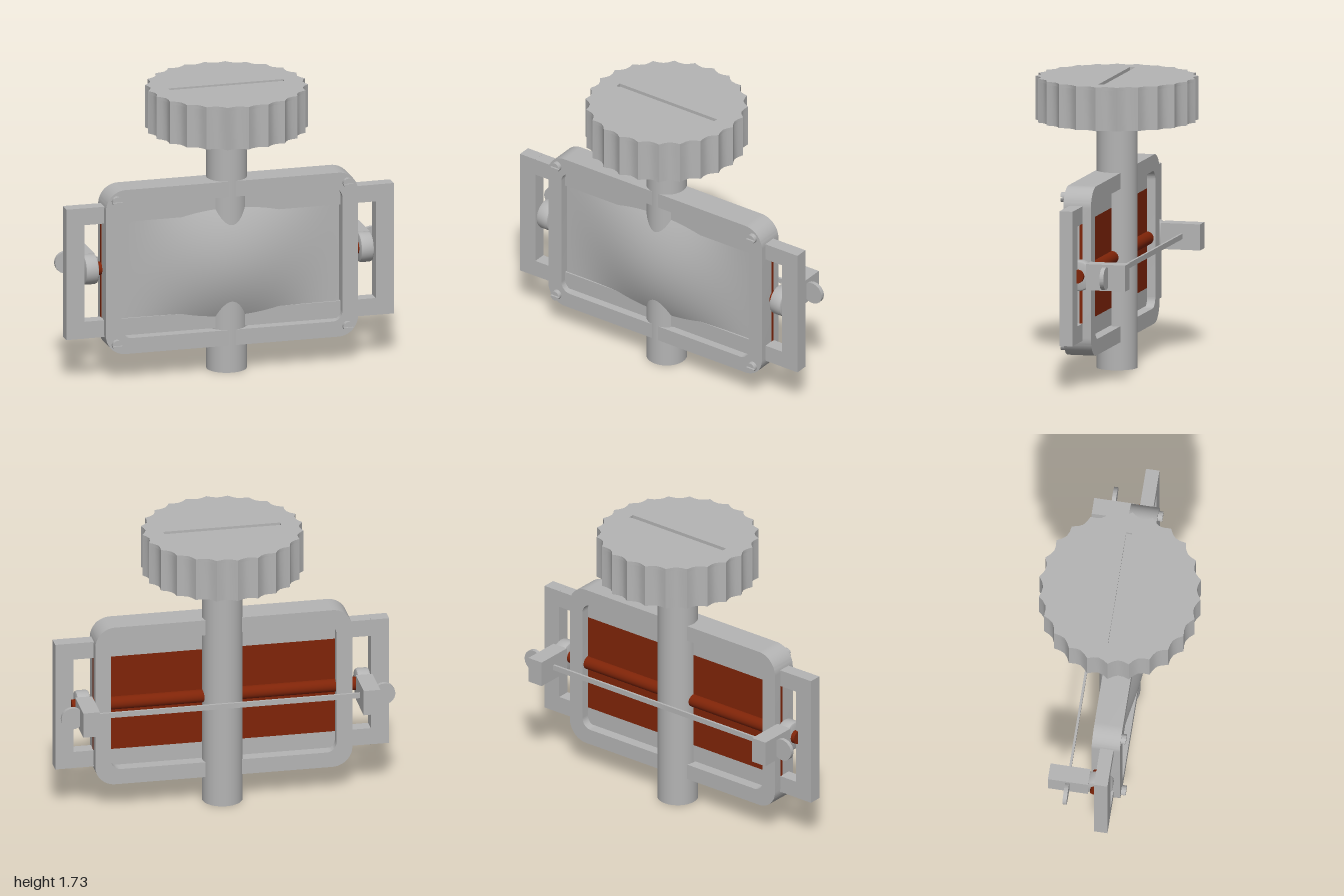
import * as THREE from 'three';
import { toCreasedNormals } from 'three/addons/utils/BufferGeometryUtils.js';

const steel = new THREE.MeshStandardMaterial({ color: 0xb4b4b4 });
steel.name = 'steel grey';
const rust = new THREE.MeshStandardMaterial({ color: 0x7f2408 });
rust.name = 'rust red';

const CY = 0.67; // height of the frame centre

export function createModel() {
  const root = new THREE.Group();
  root.name = 'valve';

  const add = (name, geo, x, y, z, mat = steel, parent = root) => {
    const m = new THREE.Mesh(geo, mat);
    m.name = name;
    m.position.set(x, y, z);
    parent.add(m);
    return m;
  };
  const box = (w, h, d) => new THREE.BoxGeometry(w, h, d);
  const extrude = (shape, depth, curveSegments = 10) =>
    toCreasedNormals(new THREE.ExtrudeGeometry(shape, { depth, bevelEnabled: false, curveSegments }), 0.5);
  const roundRect = (path, w, h, r) => {
    path.moveTo(w - r, -h);
    path.absarc(w - r, -h + r, r, -Math.PI / 2, 0);
    path.absarc(w - r, h - r, r, 0, Math.PI / 2);
    path.absarc(-w + r, h - r, r, Math.PI / 2, Math.PI);
    path.absarc(-w + r, -h + r, r, Math.PI, Math.PI * 1.5);
    path.closePath();
    return path;
  };

  // Vertical post
  add('post', new THREE.CylinderGeometry(0.12, 0.12, 1.48, 48), 0, 0.74, 0);

  // Scalloped knob with a shallow slot in its top
  const scallops = () => {
    const pts = [], teeth = 24, steps = 4;
    for (let i = 0; i < teeth * steps; i++) {
      const a = (i / (teeth * steps)) * Math.PI * 2;
      const t = (i % steps) / steps;
      const r = 0.479 - 0.027 * Math.sin(t * Math.PI);
      pts.push(new THREE.Vector2(Math.cos(a) * r, Math.sin(a) * r));
    }
    return new THREE.Shape(pts);
  };
  const knob = new THREE.Group();
  knob.name = 'knob';
  knob.position.y = 1.473;
  knob.rotation.x = -Math.PI / 2;
  root.add(knob);
  add('knobBody', extrude(scallops(), 0.24), 0, 0, 0, steel, knob);
  const top = scallops();
  top.holes.push(new THREE.Path([
    new THREE.Vector2(-0.35, -0.017), new THREE.Vector2(-0.35, 0.017),
    new THREE.Vector2(0.35, 0.017), new THREE.Vector2(0.35, -0.017),
  ]));
  add('knobSlottedTop', extrude(top, 0.02), 0, 0, 0.24, steel, knob);

  // Rounded rectangular frame
  const frame = roundRect(new THREE.Shape(), 0.77, 0.503, 0.12);
  frame.holes.push(roundRect(new THREE.Path(), 0.675, 0.408, 0.06));
  add('frame', extrude(frame, 0.168), 0, CY, -0.05);

  // Horizontal straps running through the frame
  for (const s of [-1, 1]) add('strap', box(1.78, 0.103, 0.08), 0, CY + s * 0.348, 0.04);

  // Bulged front plate: a box whose front face swells towards the middle
  const bulge = box(1.335, 2, 1, 40, 28, 1);
  bulge.dispose();
  const plate = new THREE.BoxGeometry(1.335, 2, 1, 40, 28, 1);
  const p = plate.attributes.position;
  for (let i = 0; i < p.count; i++) {
    const x = p.getX(i), v = p.getY(i);
    const f = Math.cos((x / 1.335) * Math.PI) ** 2;
    p.setY(i, v * (0.297 + 0.055 * f));
    p.setZ(i, p.getZ(i) > 0 ? 0.07 + 0.09 * f * (1 - v * v) : 0.015);
  }
  plate.deleteAttribute('normal');
  plate.computeVertexNormals();
  add('bulgedPlate', toCreasedNormals(plate, 0.6), 0, CY, 0);

  // Red backing sheet and its axle
  add('backingSheet', box(1.544, 0.594, 0.02), 0, CY, 0.01, rust);
  const axle = new THREE.CylinderGeometry(0.04, 0.04, 1.81, 24).rotateZ(Math.PI / 2);
  add('axle', axle, 0, CY, 0, rust);

  // Thin rear rod
  add('rearRod', box(1.8, 0.032, 0.014), 0, CY, -0.176);

  // Rounded collar profile around the axle
  const collarGeo = toCreasedNormals(new THREE.LatheGeometry([
    [0.001, -0.04], [0.078, -0.04], [0.086, -0.036], [0.09, -0.026],
    [0.09, 0.026], [0.086, 0.036], [0.078, 0.04], [0.001, 0.04],
  ].map(([r, y]) => new THREE.Vector2(r, y)), 40), 0.6).rotateZ(Math.PI / 2);

  // Thumb tab: flat disc cut where it meets the block
  const tabShape = new THREE.Shape();
  tabShape.absarc(0, 0, 0.067, -2.3, 2.3);
  tabShape.closePath();
  const tabGeo = extrude(tabShape, 0.024, 28);

  // Screw head halves, leaving a slot between them
  const halfShape = new THREE.Shape();
  halfShape.absarc(0, 0, 0.03, 0.15, Math.PI - 0.15);
  halfShape.closePath();
  const halfGeo = extrude(halfShape, 0.012, 16);
  const headGeo = new THREE.CylinderGeometry(0.03, 0.03, 0.02, 24).rotateX(Math.PI / 2);

  for (const s of [1, -1]) {
    // Side handle, collar, clamp block and tab
    add('handleBar', box(0.11, 0.8, 0.08), s * 0.945, CY, 0.04);
    add('collar', collarGeo, s * 0.84, CY, 0);
    add('clampBlock', box(0.1, 0.155, 0.238), s * 0.84, CY - 0.002, -0.172);
    const tab = add('thumbTab', tabGeo, s * 0.933, CY, s > 0 ? -0.188 : -0.164);
    if (s < 0) tab.rotation.y = Math.PI;

    // Corner screws
    for (const t of [1, -1]) {
      const screw = new THREE.Group();
      screw.name = 'screw';
      screw.position.set(s * 0.705, CY + t * 0.44, 0.12);
      root.add(screw);
      add('screwHead', headGeo, 0, 0, 0.004, steel, screw);
      for (const h of [0, Math.PI]) {
        add('screwHeadHalf', halfGeo, 0, 0, 0.014, steel, screw).rotation.z = h;
      }
    }
  }
  return root;
}
